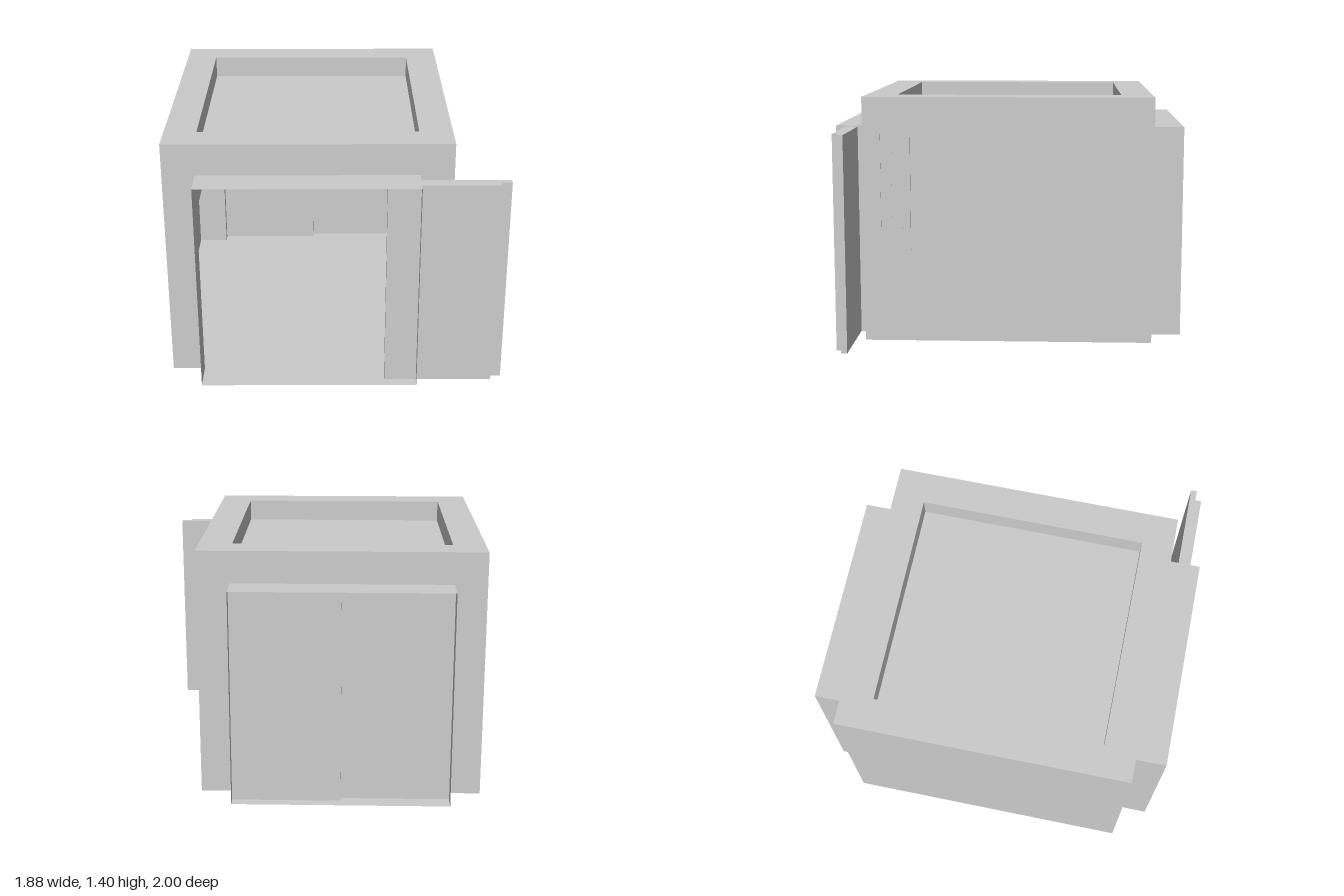
import * as THREE from 'three';

const MAT = new THREE.MeshStandardMaterial({ color: 0xcccccc, flatShading: true, side: THREE.DoubleSide });

// Main dimensions: cabin shell, door opening, heights
const X0 = -0.94, X1 = 0.64, Z = 0.82;
const P0 = -0.76, P1 = 0.455, PZ = 1, MID = (P0 + P1) / 2;
const H = 1.4, DOOR_H = 1.22;

function add(group, name, geometry) {
  const mesh = new THREE.Mesh(geometry, MAT);
  mesh.name = name;
  group.add(mesh);
  return mesh;
}

// Box given by its min and max on each axis
function box(group, name, x0, x1, y0, y1, z0, z1) {
  const mesh = add(group, name, new THREE.BoxGeometry(x1 - x0, y1 - y0, z1 - z0));
  mesh.position.set((x0 + x1) / 2, (y0 + y1) / 2, (z0 + z1) / 2);
  return mesh;
}

// Thin sheets facing x, y or z
function sheetX(group, name, x, y0, y1, z0, z1) {
  const mesh = add(group, name, new THREE.PlaneGeometry(z1 - z0, y1 - y0));
  mesh.rotation.y = (x < MID ? -1 : 1) * Math.PI / 2;
  mesh.position.set(x, (y0 + y1) / 2, (z0 + z1) / 2);
}
function sheetY(group, name, y, x0, x1, z0, z1) {
  const mesh = add(group, name, new THREE.PlaneGeometry(x1 - x0, z1 - z0));
  mesh.rotation.x = (y > 0.5 ? -1 : 1) * Math.PI / 2;
  mesh.position.set((x0 + x1) / 2, y, (z0 + z1) / 2);
}
function sheetZ(group, name, z, x0, x1, y0, y1) {
  const mesh = add(group, name, new THREE.PlaneGeometry(x1 - x0, y1 - y0));
  if (z < 0) mesh.rotation.y = Math.PI;
  mesh.position.set((x0 + x1) / 2, (y0 + y1) / 2, z);
}

function rect(Type, x0, x1, y0, y1) {
  return new Type([[x0, y0], [x1, y0], [x1, y1], [x0, y1]].map(p => new THREE.Vector2(...p)));
}

// Extruded rectangular ring
function frame(outer, inner, depth) {
  const shape = rect(THREE.Shape, ...outer);
  shape.holes.push(rect(THREE.Path, ...inner));
  return new THREE.ExtrudeGeometry(shape, { depth, bevelEnabled: false });
}

function buildRoof() {
  const roof = new THREE.Group();
  roof.name = 'roof';
  const rim = add(roof, 'roofRim', frame([X0, X1, -Z, Z], [P0, P1, -0.64, 0.64], H - DOOR_H));
  rim.rotation.x = -Math.PI / 2;
  rim.position.y = DOOR_H;
  box(roof, 'ceilingPanel', P0, P1, DOOR_H, 1.275, -0.64, 0.64);
  return roof;
}

function buildWalls() {
  const walls = new THREE.Group();
  walls.name = 'walls';
  for (const x of [X0, X1]) {
    sheetX(walls, 'sideWall', x, 0, DOOR_H, -Z, 0);
    sheetX(walls, 'sideWall', x, 0, DOOR_H, 0, Z);
  }
  for (const z of [-Z, Z]) {
    sheetZ(walls, 'doorSideWall', z, X0, P0, 0, DOOR_H);
    sheetZ(walls, 'doorSideWall', z, P1, X1, 0, DOOR_H);
  }
  sheetY(walls, 'floor', 0, X0, X1, -Z, Z);
  // Bumper rails along the inside of both side walls
  box(walls, 'bumperRail', X0, X0 + 0.025, 0.4, 0.55, -Z, Z);
  box(walls, 'bumperRail', X1 - 0.025, X1, 0.4, 0.55, -Z, Z);
  return walls;
}

// Open porch around a doorway; side is +1 at the front, -1 at the back
function buildPorch(side) {
  const porch = new THREE.Group();
  porch.name = side > 0 ? 'frontPorch' : 'backPorch';
  const [z0, z1] = side > 0 ? [Z, PZ] : [-PZ, -Z];
  sheetX(porch, 'jamb', P0, 0, DOOR_H, z0, z1);
  sheetX(porch, 'jamb', P1, 0, DOOR_H, z0, z1);
  sheetY(porch, 'lintel', DOOR_H, P0, P1, z0, z1);
  sheetY(porch, 'sill', 0, P0, P1, z0, z1);
  return porch;
}

function buildDoors() {
  const doors = new THREE.Group();
  doors.name = 'doors';
  const top = 1.215, bottom = 0.003;
  // Front pair slid open and stacked
  box(doors, 'frontOuterDoor', 0.275, 0.88, bottom, top, 0.91, 0.945);
  box(doors, 'frontInnerDoor', 0.335, 0.94, bottom, top, 0.875, 0.91);
  // Back pair closed
  box(doors, 'backOuterDoor', MID, P1, bottom, top, -0.945, -0.91);
  box(doors, 'backInnerDoor', P0, MID, bottom, top, -0.91, -0.875);
  return doors;
}

function buildControlPanel() {
  const panel = new THREE.Group();
  panel.name = 'controlPanel';
  const w = 0.09, h = 0.34;
  const rim = add(panel, 'panelRim', frame([-w, w, -h, h], [-w + 0.012, w - 0.012, -h + 0.012, h - 0.012], 0.01));
  rim.position.z = 0;
  box(panel, 'panelPlate', -w + 0.012, w - 0.012, -h + 0.012, h - 0.012, 0, 0.006);
  // Two columns of round buttons
  const button = new THREE.CylinderGeometry(0.014, 0.014, 0.01, 16).rotateX(Math.PI / 2);
  for (let row = 0; row < 8; row++) {
    for (const x of [-0.028, 0.028]) {
      add(panel, 'button', button).position.set(x, -0.21 + row * 0.061, 0.005);
    }
  }
  panel.rotation.y = Math.PI / 2;
  panel.position.set(X1, 0.87, 0.64);
  return panel;
}

export function createModel() {
  const model = new THREE.Group();
  model.name = 'elevatorCar';
  model.add(buildRoof(), buildWalls(), buildPorch(1), buildPorch(-1), buildDoors(), buildControlPanel());
  return model;
}
